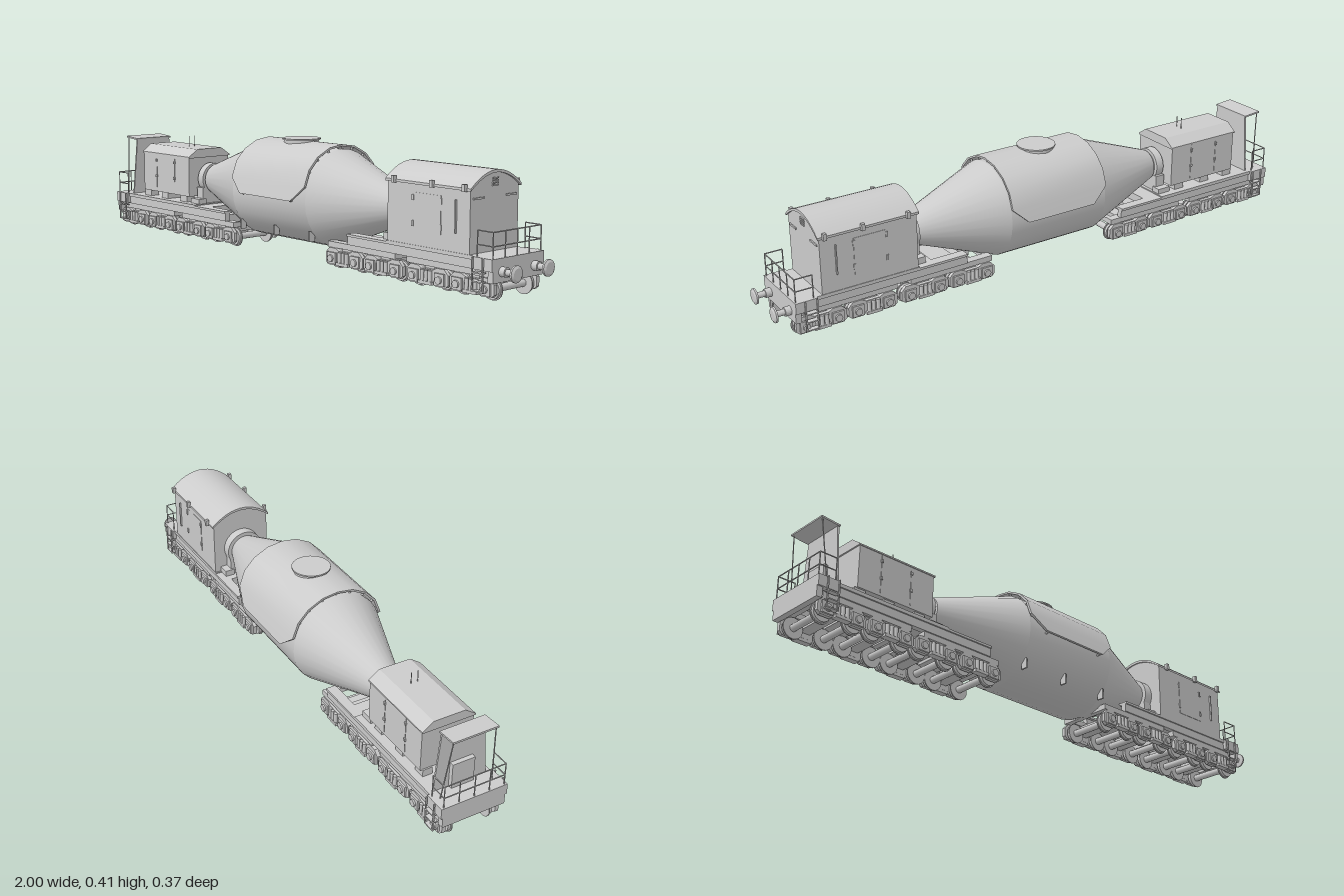
import * as THREE from 'three';
import { toCreasedNormals } from 'three/addons/utils/BufferGeometryUtils.js';

const grey = new THREE.MeshStandardMaterial({ color: 0xcccccc });
const greySheet = new THREE.MeshStandardMaterial({ color: 0xcccccc, side: THREE.DoubleSide });

function add(parent, name, geo, mat = grey) {
  const mesh = new THREE.Mesh(geo, mat);
  mesh.name = name;
  parent.add(mesh);
  return mesh;
}
function box(parent, name, x0, x1, y0, y1, z0, z1) {
  const geo = new THREE.BoxGeometry(x1 - x0, y1 - y0, z1 - z0);
  geo.translate((x0 + x1) / 2, (y0 + y1) / 2, (z0 + z1) / 2);
  return add(parent, name, geo);
}
// the same box on both sides of the centre line
function pair(parent, name, x0, x1, y0, y1, z0, z1) {
  box(parent, name, x0, x1, y0, y1, z0, z1);
  box(parent, name, x0, x1, y0, y1, -z1, -z0);
}
function rod(parent, name, a, b, r = 0.002, sides = 6) {
  const p = new THREE.Vector3(...a), q = new THREE.Vector3(...b);
  const mesh = add(parent, name, new THREE.CylinderGeometry(r, r, p.distanceTo(q), sides));
  mesh.position.copy(p).lerp(q, 0.5);
  mesh.quaternion.setFromUnitVectors(new THREE.Vector3(0, 1, 0), q.sub(p).normalize());
}
// profile of [x, radius] turned around the x axis
function turned(parent, name, profile, y, z = 0, sides = 28) {
  const geo = new THREE.LatheGeometry(profile.map(([x, r]) => new THREE.Vector2(r, x)), sides);
  geo.rotateZ(-Math.PI / 2);
  geo.translate(0, y, z);
  return add(parent, name, toCreasedNormals(geo, 0.3));
}
// outline of [z, y] pulled along x
function alongX(parent, name, pts, x0, x1, crease = 0.4) {
  const shape = new THREE.Shape(pts.map(([z, y]) => new THREE.Vector2(-z, y)));
  const geo = new THREE.ExtrudeGeometry(shape, { depth: x1 - x0, bevelEnabled: false });
  geo.rotateY(Math.PI / 2);
  geo.translate(x0, 0, 0);
  return add(parent, name, toCreasedNormals(geo, crease));
}

// two-axle bogie with outside frames
function bogie(cx) {
  const g = new THREE.Group();
  g.name = 'bogie';
  const outline = [[-0.087, 0.025], [-0.087, 0.055], [-0.07, 0.072], [-0.04, 0.072], [-0.025, 0.064], [0.025, 0.064],
    [0.04, 0.072], [0.07, 0.072], [0.087, 0.055], [0.087, 0.025], [0.075, 0.015], [0.035, 0.015], [0.025, 0.028],
    [-0.025, 0.028], [-0.035, 0.015], [-0.075, 0.015]];
  const frame = new THREE.Shape(outline.map(p => new THREE.Vector2(...p)));
  for (const s of [-1, 1]) {
    const geo = new THREE.ExtrudeGeometry(frame, { depth: 0.013, bevelEnabled: false });
    geo.translate(0, 0, s * 0.096 - 0.0065);
    add(g, 'sideFrame', geo);
    for (const x of [-0.055, 0.055]) {
      const wheel = new THREE.LatheGeometry([[0, -0.007], [0.031, -0.007], [0.031, 0.003], [0.035, 0.003],
        [0.035, 0.007], [0, 0.007]].map(p => new THREE.Vector2(...p)), 18);
      wheel.rotateX(-s * Math.PI / 2);
      wheel.translate(x, 0.035, s * 0.073);
      add(g, 'wheel', toCreasedNormals(wheel, 0.5));
      const cap = new THREE.CylinderGeometry(0.012, 0.012, 0.012, 12);
      cap.rotateX(Math.PI / 2);
      cap.translate(x, 0.038, s * 0.109);
      add(g, 'axleCap', cap);
    }
    for (const x of [-0.016, 0, 0.016])
      add(g, 'spring', new THREE.CylinderGeometry(0.007, 0.007, 0.036, 8)).position.set(x, 0.044, s * 0.106);
  }
  for (const x of [-0.055, 0.055]) {
    rod(g, 'axle', [x, 0.035, -0.1], [x, 0.035, 0.1], 0.012, 12);
    pair(g, 'axleBox', x - 0.02, x + 0.02, 0.02, 0.058, 0.1, 0.109);
  }
  box(g, 'bolster', -0.02, 0.02, 0.045, 0.075, -0.09, 0.09);
  pair(g, 'springPlank', -0.028, 0.028, 0.018, 0.028, 0.09, 0.113);
  g.position.x = cx;
  return g;
}

// carrying frame at one end; s is the outward direction in x
function carriage(s) {
  const g = new THREE.Group();
  g.name = s > 0 ? 'leftCarriage' : 'rightCarriage';
  const span = (f, name, a, b, ...rest) => f(g, name, Math.min(s * a, s * b), Math.max(s * a, s * b), ...rest);
  const centres = s > 0 ? [0.3, 0.48, 0.67, 0.85] : [0.36, 0.54, 0.72, 0.9];
  const off = s > 0 ? 0 : 0.06;
  for (const c of centres) g.add(bogie(s * c));
  for (const [a, b] of [[0.22, 0.53], [0.58, 0.91]]) {
    span(pair, 'bridgeBeam', a + off, b + off, 0.073, 0.092, 0.07, 0.1);
    span(box, 'bridgeCentre', (a + b) / 2 + off - 0.04, (a + b) / 2 + off + 0.04, 0.07, 0.1, -0.09, 0.09);
    for (const x of [a, b - 0.02]) span(box, 'crossBeam', x + off, x + off + 0.02, 0.073, 0.09, -0.08, 0.08);
  }
  span(pair, 'mainBeam', 0.32, 0.88 + off, 0.092, 0.125, 0.085, 0.105);
  span(pair, 'beamFlange', 0.32, 0.88 + off, 0.12, 0.128, 0.075, 0.11);
  span(box, 'deck', 0.5, 0.94 + off, 0.12, 0.132, -0.11, 0.11);
  span(box, 'innerCrossBeam', 0.44, 0.5, 0.1, 0.128, -0.09, 0.09);
  // headstock, steps and end railing
  const end = 0.94 + off;
  span(box, 'headstock', end - 0.02, end, 0.06, 0.132, -0.112, 0.112);
  span(pair, 'endPlatform', end - 0.075, end, 0.095, 0.132, 0.08, 0.118);
  for (const y of [0.03, 0.058, 0.085]) span(pair, 'step', end - 0.07, end - 0.03, y, y + 0.004, 0.108, 0.126);
  for (const x of [0.07, 0.03]) span(pair, 'stepSide', end - x - 0.002, end - x + 0.002, 0.03, 0.132, 0.121, 0.126);
  const rx = s * (end - 0.005);
  for (const z of [-0.108, -0.054, 0, 0.054, 0.108]) rod(g, 'railPost', [rx, 0.13, z], [rx, 0.21, z]);
  for (const y of [0.168, 0.21]) {
    rod(g, 'rail', [rx, y, -0.108], [rx, y, 0.108]);
    for (const z of [-0.108, 0.108]) rod(g, 'sideRail', [rx, y, z], [rx - s * 0.06, y, z]);
  }
  for (const z of [-0.108, 0.108]) rod(g, 'railPost', [rx - s * 0.06, 0.13, z], [rx - s * 0.06, 0.21, z]);
  return g;
}

function ladle() {
  const g = new THREE.Group();
  g.name = 'ladle';
  turned(g, 'vessel', [[-0.56, 0], [-0.56, 0.045], [-0.505, 0.045], [-0.505, 0.055], [-0.2, 0.165], [0.18, 0.165],
    [0.47, 0.055], [0.47, 0.045], [0.51, 0.045], [0.51, 0]], 0.22);
  turned(g, 'bearingRing', [[-0.545, 0.04], [-0.545, 0.058], [-0.515, 0.058], [-0.515, 0.04]], 0.22);
  turned(g, 'bearingRing', [[0.472, 0.04], [0.472, 0.068], [0.505, 0.068], [0.505, 0.04]], 0.22);
  for (const x of [-0.53, 0.49]) {
    box(g, 'bearingPedestal', x - 0.018, x + 0.018, 0.125, 0.19, -0.06, 0.06);
    pair(g, 'bearingFoot', x - 0.025, x + 0.025, 0.125, 0.15, 0.05, 0.085);
  }
  for (const x of [-0.19, -0.01, 0.17]) box(g, 'lug', x - 0.003, x + 0.003, 0.085, 0.12, 0.115, 0.138);
  // faceted heat shield, clipped at its lower corners: [z, y, x0, x1]
  const half = [[0.184, 0.22, -0.14, 0.125], [0.169, 0.27, -0.2, 0.18], [0.148, 0.325, -0.2, 0.18],
    [0.11, 0.365, -0.2, 0.18], [0.057, 0.392, -0.2, 0.18]];
  const full = [...half, [0, 0.4, -0.2, 0.18], ...half.slice().reverse().map(([z, y, a, b]) => [-z, y, a, b])];
  const pos = [], idx = [];
  full.forEach(([z, y, a, b], i) => {
    const zi = z * 0.955, yi = 0.22 + (y - 0.22) * 0.965;
    pos.push(a, y, z, b, y, z, b, yi, zi, a, yi, zi);
    if (i) for (let k = 0; k < 4; k++) {
      const p = (i - 1) * 4 + k, q = (i - 1) * 4 + (k + 1) % 4;
      idx.push(p, q, q + 4, p, q + 4, p + 4);
    }
    // stand-offs between shield and vessel
    const r = Math.hypot(z, y - 0.22);
    for (const x of [a + 0.01, b - 0.01])
      rod(g, 'shieldBracket', [x, yi, zi], [x, 0.22 + (y - 0.22) * 0.16 / r, z * 0.16 / r], 0.004);
  });
  const last = (full.length - 1) * 4;
  idx.push(0, 3, 2, 0, 2, 1, last, last + 1, last + 2, last, last + 2, last + 3);
  const shield = new THREE.BufferGeometry();
  shield.setAttribute('position', new THREE.Float32BufferAttribute(pos, 3));
  shield.setIndex(idx);
  add(g, 'heatShield', toCreasedNormals(shield, 0.5), greySheet);
  // filling mouth
  add(g, 'mouth', new THREE.CylinderGeometry(0.06, 0.06, 0.04, 28)).position.set(-0.025, 0.385, 0);
  add(g, 'mouthRim', new THREE.CylinderGeometry(0.066, 0.066, 0.005, 28)).position.set(-0.025, 0.405, 0);
  return g;
}

// large arched machinery house
function archedHouse() {
  const g = new THREE.Group();
  g.name = 'archedHouse';
  const arc = (w, y0, y1) => Array.from({ length: 13 }, (_, i) => {
    const z = w * (1 - i / 6);
    return [z, y0 + (y1 - y0) * (1 - (z / w) ** 2)];
  });
  alongX(g, 'body', [[0.108, 0.13], ...arc(0.108, 0.325, 0.368), [-0.108, 0.13]], 0.505, 0.845);
  alongX(g, 'roof', [...arc(0.114, 0.328, 0.377), ...arc(0.114, 0.32, 0.368).reverse()], 0.5, 0.852);
  for (const y of [0.328, 0.335, 0.342, 0.349]) box(g, 'louvre', 0.845, 0.849, y, y + 0.004, -0.013, 0.013);
  pair(g, 'endVent', 0.845, 0.849, 0.293, 0.299, 0.05, 0.096);
  pair(g, 'sidePanel', 0.615, 0.73, 0.17, 0.295, 0.108, 0.1095);
  for (const x of [0.615, 0.73]) for (const y of [0.19, 0.27]) pair(g, 'hinge', x - 0.004, x + 0.004, y, y + 0.018, 0.109, 0.112);
  pair(g, 'doorHandle', 0.79, 0.794, 0.19, 0.29, 0.109, 0.115);
  for (const x of [0.54, 0.7, 0.83]) pair(g, 'liftingEye', x - 0.006, x + 0.006, 0.318, 0.34, 0.112, 0.124);
  return g;
}

// small house with bevelled roof, and the sheltered control stand
function controlEnd() {
  const g = new THREE.Group();
  g.name = 'controlEnd';
  alongX(g, 'lowHouse', [[0.092, 0.155], [0.092, 0.3], [0.055, 0.325], [-0.055, 0.325], [-0.092, 0.3], [-0.092, 0.155]], -0.845, -0.555, 0.2);
  alongX(g, 'lowRoof', [[0.095, 0.298], [0.095, 0.303], [0.056, 0.33], [-0.056, 0.33], [-0.095, 0.303], [-0.095, 0.298]], -0.85, -0.55, 0.2);
  for (const x of [-0.83, -0.72, -0.6]) pair(g, 'houseFoot', x - 0.02, x + 0.02, 0.13, 0.157, 0.05, 0.085);
  box(g, 'underGear', -0.78, -0.7, 0.13, 0.156, -0.05, 0.05);
  for (const x of [-0.76, -0.645]) {
    pair(g, 'doorSeam', x - 0.001, x + 0.001, 0.165, 0.295, 0.092, 0.0935);
    for (const y of [0.21, 0.27]) pair(g, 'doorHinge', x - 0.004, x + 0.004, y, y + 0.01, 0.092, 0.097);
  }
  for (const z of [-0.012, 0.012]) rod(g, 'mast', [-0.66, 0.32, z], [-0.66, 0.37, z], 0.0015);
  alongX(g, 'standWall', [[0.095, 0.13], [0.075, 0.345], [-0.075, 0.345], [-0.095, 0.13]], -0.92, -0.914);
  const canopy = box(g, 'canopy', -0.035, 0.035, -0.003, 0.003, -0.08, 0.08);
  canopy.position.set(-0.947, 0.346, 0);
  canopy.rotation.z = -0.08;
  for (const z of [-0.074, 0.074]) rod(g, 'canopyPost', [-0.975, 0.345, z], [-0.955, 0.13, z * 1.25]);
  box(g, 'controlDesk', -0.935, -0.92, 0.13, 0.22, -0.04, 0.04);
  return g;
}

export function createModel() {
  const model = new THREE.Group();
  model.name = 'ladleWagon';
  model.add(carriage(1), carriage(-1), ladle(), archedHouse(), controlEnd());
  // buffers on one end only
  for (const z of [-0.073, 0.073])
    turned(model, 'buffer', [[0.935, 0], [0.935, 0.015], [0.96, 0.015], [0.96, 0.01], [0.988, 0.01], [0.99, 0.026],
      [0.996, 0.026], [1, 0.018], [1, 0]], 0.092, z, 20);
  return model;
}
